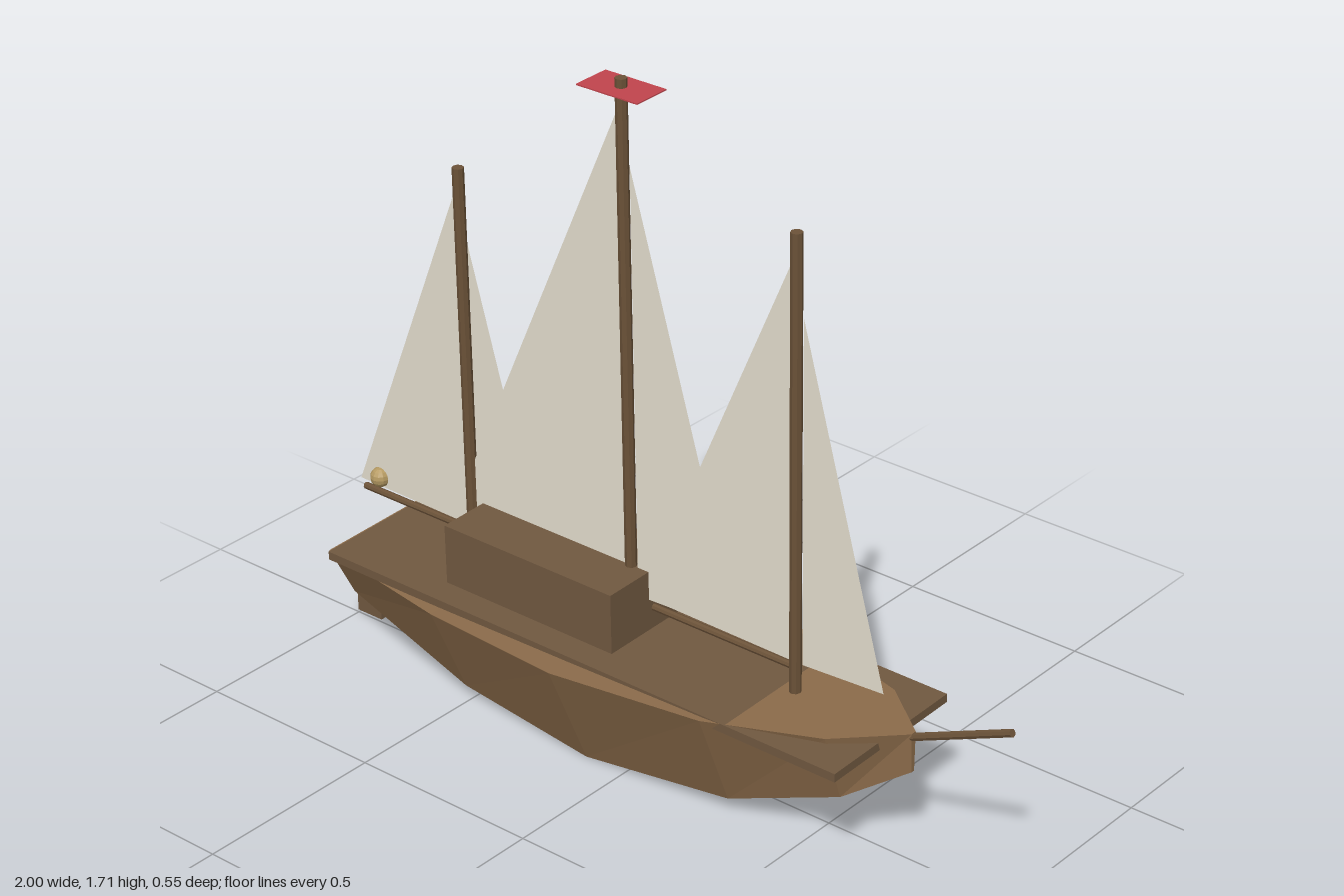
import * as THREE from 'three';

const mat = (color, side = THREE.FrontSide) =>
  new THREE.MeshStandardMaterial({ color, side, flatShading: true });

export function createModel() {
  const model = new THREE.Group();
  model.name = 'sailingShip';

  // The whole ship heels slightly about its length
  const ship = new THREE.Group();
  ship.name = 'ship';
  ship.position.y = 0.33;
  ship.rotation.x = 0.022;
  model.add(ship);

  const hullMat = mat(0x8b6b4a);
  const deckMat = mat(0x705840);
  const sparMat = mat(0x6b5238);
  const sailMat = mat(0xe4decf, THREE.DoubleSide);

  const add = (name, geometry, material, x = 0, y = 0, z = 0) => {
    const mesh = new THREE.Mesh(geometry, material);
    mesh.name = name;
    mesh.position.set(x, y - 0.33, z);
    ship.add(mesh);
    return mesh;
  };

  // Round spar between two points in the centre plane
  const spar = (name, x0, y0, x1, y1, r) => {
    const dx = x1 - x0, dy = y1 - y0;
    const mesh = add(name, new THREE.CylinderGeometry(r, r, Math.hypot(dx, dy), 8), sparMat,
      (x0 + x1) / 2, (y0 + y1) / 2);
    mesh.rotation.z = Math.atan2(dy, dx) - Math.PI / 2;
  };

  const sail = (name, points) => {
    const shape = new THREE.Shape(points.map(([x, y]) => new THREE.Vector2(x, y)));
    add(name, new THREE.ShapeGeometry(shape), sailMat);
  };

  add('hull', hullGeometry(), hullMat);
  add('deck', new THREE.BoxGeometry(1.555, 0.022, 0.42), deckMat, -0.108, 0.308);
  add('cabin', new THREE.BoxGeometry(0.52, 0.175, 0.274), deckMat, -0.3, 0.389);
  add('rudder', new THREE.BoxGeometry(0.08, 0.175, 0.016), deckMat, -0.96, 0.102);
  spar('bowsprit', 0.72, 0.33, 0.995, 0.453, 0.01);

  // Each mast carries a boom, a sail behind it and a narrower sail ahead of it
  const rigs = [
    { name: 'mizzen', x: -0.595, top: 1.355, boom: -0.955, aft: [-0.97, 1.3], fore: [-0.372, 1.165] },
    { name: 'main', x: -0.093, top: 1.713, boom: -0.58, aft: [-0.665, 1.64], fore: [0.23, 1.505] },
    { name: 'front', x: 0.395, top: 1.485, boom: -0.025, aft: [-0.06, 1.415], fore: [0.645, 1.285] },
  ];
  for (const { name, x, top, boom, aft, fore } of rigs) {
    spar(name + 'Mast', x, 0.3, x, top, 0.0145);
    spar(name + 'Boom', boom, 0.388, x, 0.388, 0.009);
    sail(name + 'AftSail', [[aft[0], 0.405], [x - 0.01, 0.4], [x - 0.01, aft[1]]]);
    sail(name + 'ForeSail', [[x + 0.02, 0.4], [fore[0], 0.413], [x + 0.02, fore[1]]]);
  }

  add('flag', new THREE.BoxGeometry(0.175, 0.003, 0.1), mat(0xc0444c), -0.093, 1.69);
  add('sternLantern', new THREE.SphereGeometry(0.026, 12, 8), mat(0xb59a62), -0.903, 0.43);
  return model;
}

// Hull lofted through four-cornered cross-sections, stern to bow
function hullGeometry() {
  const sections = [ // x, deck height, bottom height, half beam
    [-0.92, 0.294, 0.14, 0.174],
    [-0.515, 0.298, 0.043, 0.245],
    [-0.115, 0.305, 0.01, 0.275],
    [0.295, 0.315, 0.05, 0.226],
    [0.58, 0.334, 0.147, 0.13],
    [0.73, 0.345, 0.242, 0.008],
  ];
  const ring = ([x, top, bottom, w]) => [
    [x, top, w], [x, top, -w], [x, bottom, -w * 0.55], [x, bottom, w * 0.55],
  ];
  const pos = [];
  const quad = (a, b, c, d) => pos.push(...a, ...b, ...c, ...a, ...c, ...d);
  const rings = sections.map(ring);
  for (let i = 0; i < rings.length - 1; i++) {
    const p = rings[i], q = rings[i + 1];
    for (let k = 0; k < 4; k++) {
      const n = (k + 1) % 4;
      quad(p[k], q[k], q[n], p[n]);
    }
  }
  quad(...rings[0]);
  quad(...rings[rings.length - 1].slice().reverse());
  const g = new THREE.BufferGeometry();
  g.setAttribute('position', new THREE.Float32BufferAttribute(pos, 3));
  g.computeVertexNormals();
  return g;
}
